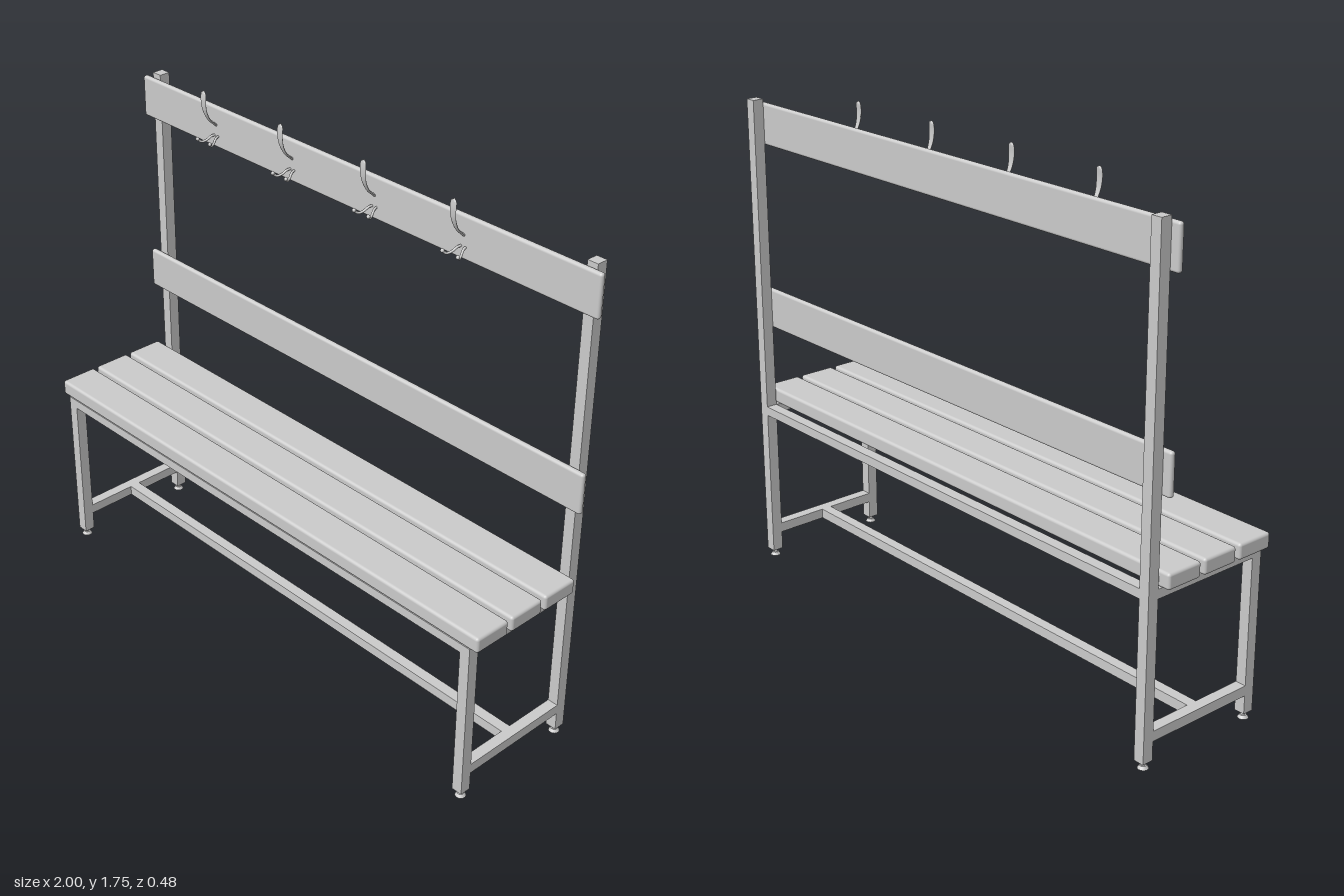
import * as THREE from 'three';
import { RoundedBoxGeometry } from 'three/addons/geometries/RoundedBoxGeometry.js';

const material = new THREE.MeshStandardMaterial({ color: 0xcccccc });

function add(parent, name, geometry, x = 0, y = 0, z = 0) {
  const mesh = new THREE.Mesh(geometry, material);
  mesh.name = name;
  mesh.position.set(x, y, z);
  parent.add(mesh);
  return mesh;
}

// Box given by its extents on each axis
function bar(parent, name, [x0, x1], [y0, y1], [z0, z1]) {
  return add(parent, name, new THREE.BoxGeometry(x1 - x0, y1 - y0, z1 - z0),
    (x0 + x1) / 2, (y0 + y1) / 2, (z0 + z1) / 2);
}

// Wooden board with softened edges, full bench length
function board(parent, name, [y0, y1], [z0, z1], radius) {
  return add(parent, name, new RoundedBoxGeometry(2, y1 - y0, z1 - z0, 3, radius),
    0, (y0 + y1) / 2, (z0 + z1) / 2);
}

function curve(points) {
  return new THREE.CatmullRomCurve3(points.map(p => new THREE.Vector3(...p)));
}

// Coat hook: a flattened, widening upper arm and two small lower prongs
function createHook() {
  const hook = new THREE.Group();
  hook.name = 'coatHook';
  const arm = new THREE.TubeGeometry(curve([
    [0, 1.612, -0.19], [0, 1.622, -0.178], [0, 1.645, -0.154],
    [0, 1.68, -0.137], [0, 1.715, -0.132], [0, 1.75, -0.134],
  ]), 32, 0.004, 10);
  const pos = arm.attributes.position, uv = arm.attributes.uv;
  for (let i = 0; i < pos.count; i++) {
    const t = uv.getX(i);
    const width = 1.4 + 1.8 * THREE.MathUtils.smoothstep(t, 0.2, 0.85);
    const tip = Math.sqrt(1 - Math.max(0, (t - 0.9) / 0.1) ** 2);
    pos.setX(i, pos.getX(i) * width * tip);
  }
  arm.computeVertexNormals();
  add(hook, 'upperArm', arm);
  for (const s of [-1, 1]) {
    const path = curve([
      [s * 0.008, 1.58, -0.19], [s * 0.012, 1.578, -0.172], [s * 0.019, 1.566, -0.155],
      [s * 0.026, 1.563, -0.14], [s * 0.031, 1.574, -0.128],
    ]);
    add(hook, 'lowerProng', new THREE.TubeGeometry(path, 20, 0.0042, 8));
    add(hook, 'prongTip', new THREE.SphereGeometry(0.0065, 12, 8), s * 0.031, 1.574, -0.128);
  }
  return hook;
}

export function createModel() {
  const model = new THREE.Group();
  model.name = 'cloakroomBench';

  // Side frames with adjustable feet
  for (const s of [-1, 1]) {
    const frame = new THREE.Group();
    frame.name = s < 0 ? 'rightFrame' : 'leftFrame';
    const x = [s * 0.95 - 0.019, s * 0.95 + 0.019];
    bar(frame, 'backPost', x, [0.025, 1.695], [-0.242, -0.203]);
    bar(frame, 'frontLeg', x, [0.025, 0.592], [0.199, 0.237]);
    bar(frame, 'upperSideRail', x, [0.56, 0.592], [-0.203, 0.199]);
    bar(frame, 'lowerSideRail', x, [0.09, 0.125], [-0.203, 0.199]);
    for (const z of [-0.222, 0.218]) {
      add(frame, 'footStem', new THREE.CylinderGeometry(0.007, 0.007, 0.025, 12), s * 0.95, 0.0145, z);
      add(frame, 'footPad', new THREE.CylinderGeometry(0.011, 0.018, 0.01, 16), s * 0.95, 0.005, z);
    }
    model.add(frame);
  }

  // Long rails joining the frames
  const span = [-0.931, 0.931];
  bar(model, 'frontSeatRail', span, [0.56, 0.592], [0.199, 0.237]);
  bar(model, 'backSeatRail', span, [0.56, 0.592], [-0.242, -0.203]);
  bar(model, 'stretcher', span, [0.09, 0.125], [-0.019, 0.019]);

  // Seat slats
  for (let i = 0; i < 3; i++) {
    const z = 0.172 - i * 0.149;
    board(model, 'seatSlat', [0.592, 0.646], [z - 0.067, z + 0.067], 0.01);
  }

  // Backrest and hook board
  board(model, 'backrestBoard', [0.882, 1.024], [-0.203, -0.183], 0.009);
  board(model, 'hookBoard', [1.537, 1.681], [-0.203, -0.183], 0.009);

  // Row of coat hooks
  for (let i = 0; i < 4; i++) {
    const hook = createHook();
    hook.position.x = -0.62 + i * 0.37;
    model.add(hook);
  }
  return model;
}
